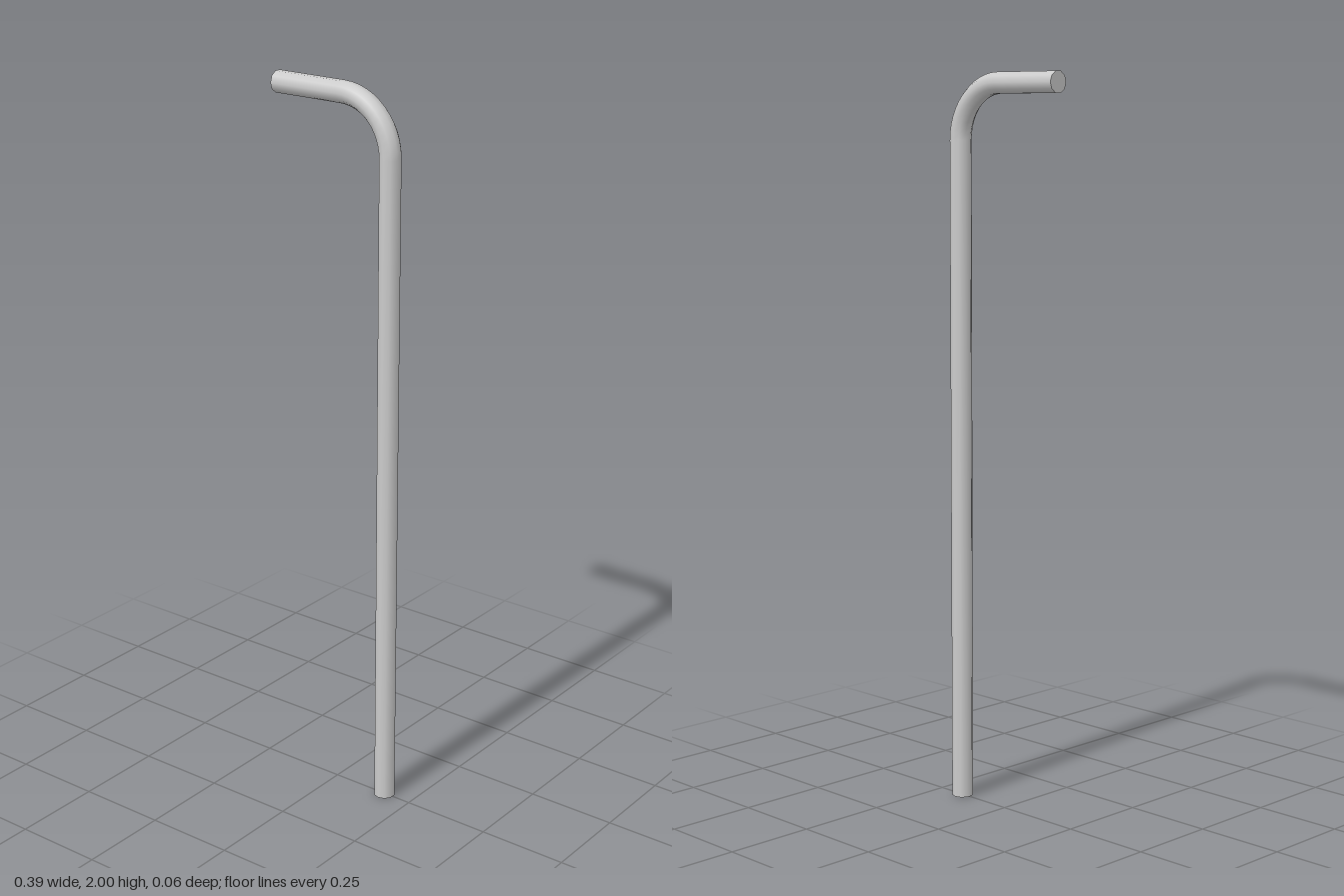
import * as THREE from 'three';

const RADIUS = 0.0295, SIDES = 10, STEPS = 12;
const HALF_WIDTH = 0.194, BEND = 0.15;
const FLAT = RADIUS * Math.cos(Math.PI / SIDES); // half width across flats
const SHAFT_X = HALF_WIDTH - FLAT, ARM_Y = 2 - FLAT;

// Upright shaft, quarter-circle bend, short arm: one ring at each end and STEPS + 1 on the bend
class RodCurve extends THREE.Curve {
  angle(t) {
    return THREE.MathUtils.clamp((t * (STEPS + 2) - 1) / STEPS, 0, 1) * Math.PI / 2;
  }
  getPoint(t, p = new THREE.Vector3()) {
    const s = t * (STEPS + 2), a = this.angle(t);
    p.set(SHAFT_X - BEND + BEND * Math.cos(a), ARM_Y - BEND + BEND * Math.sin(a), 0);
    if (s < 1) p.y *= s;
    if (s > STEPS + 1) p.x = THREE.MathUtils.lerp(p.x, -HALF_WIDTH, s - STEPS - 1);
    return p;
  }
  getTangent(t, v = new THREE.Vector3()) {
    const a = this.angle(t);
    return v.set(-Math.sin(a), Math.cos(a), 0);
  }
  getPointAt(t, p) { return this.getPoint(t, p); }
  getTangentAt(t, v) { return this.getTangent(t, v); }
}

export function createModel() {
  const group = new THREE.Group();
  group.name = 'bentRod';
  const material = new THREE.MeshStandardMaterial({ color: 0xcccccc });
  const add = (name, geometry) => {
    const mesh = new THREE.Mesh(geometry, material);
    mesh.name = name;
    group.add(mesh);
    return mesh;
  };

  // Rod body
  add('rod', new THREE.TubeGeometry(new RodCurve(), STEPS + 2, RADIUS, SIDES, false));

  // Flat end caps
  add('bottomCap', new THREE.CircleGeometry(RADIUS, SIDES).rotateZ(Math.PI / 2).rotateX(Math.PI / 2))
    .position.set(SHAFT_X, 0, 0);
  add('armCap', new THREE.CircleGeometry(RADIUS, SIDES).rotateY(-Math.PI / 2))
    .position.set(-HALF_WIDTH, ARM_Y, 0);

  return group;
}
